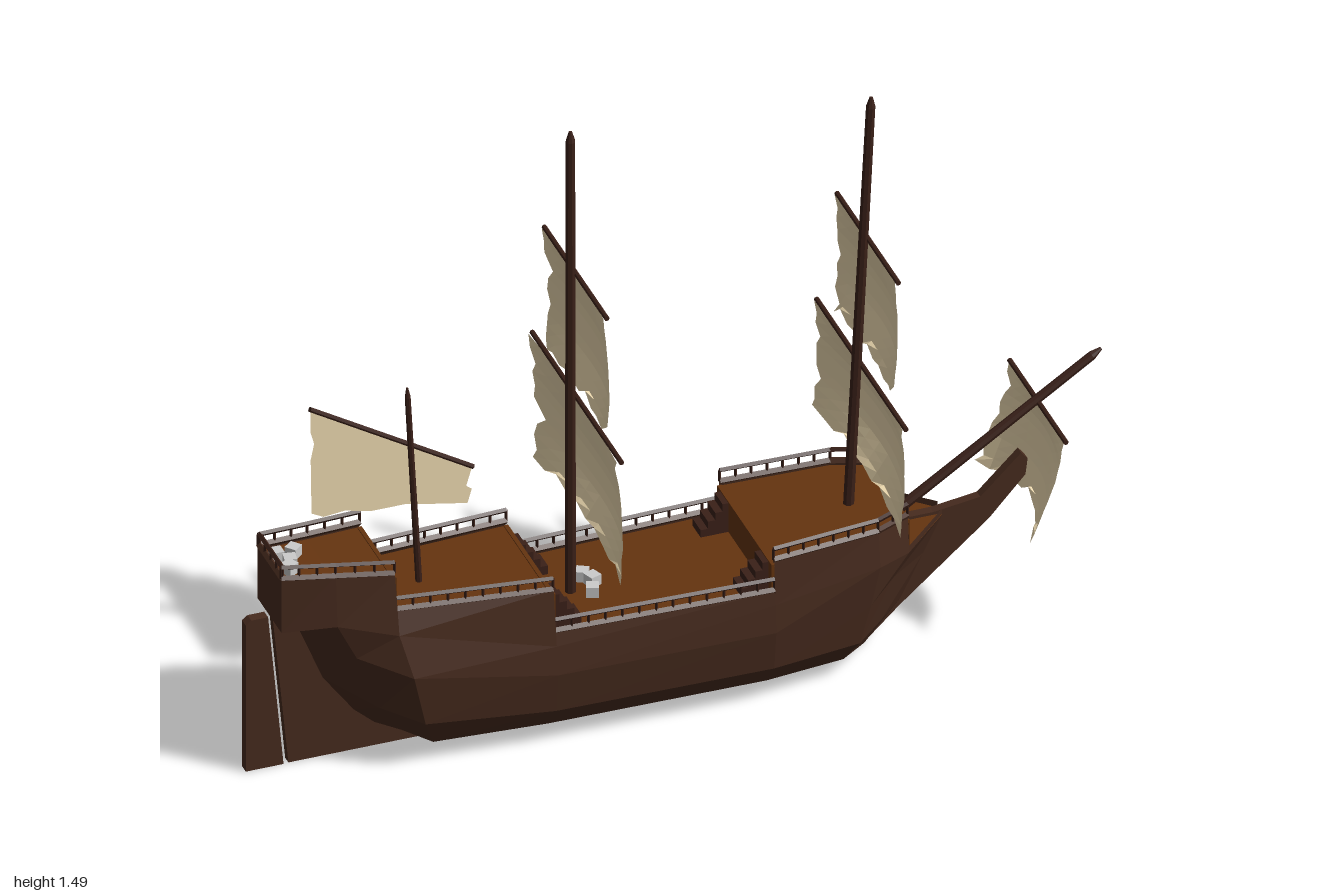
import * as THREE from 'three';

const mat = (color) => new THREE.MeshStandardMaterial({ color, flatShading: true, side: THREE.DoubleSide });
const HULL = mat(0x472b1e), SPAR = mat(0x3a2018), DECK = mat(0x65340f), SAIL = mat(0xf0dcb2), GREY = mat(0xcccccc);
const lerp = THREE.MathUtils.lerp;

// Hull sections, stern to bow: x above, x at keel, wale height and half width, widest height and half width, keel height
const SECTIONS = [
  [-.94, -.70, .385, .075, .37, .01, .06],
  [-.82, -.62, .39, .102, .30, .105, .03],
  [-.69, -.58, .36, .14, .26, .168, .015],
  [-.335, -.335, .27, .17, .20, .178, .015],
  [.17, .17, .27, .182, .20, .186, .015],
  [.42, .34, .30, .165, .20, .155, .015],
  [.50, .40, .30, .13, .22, .094, .015],
  [.62, .43, .30, .013, .21, .01, .015],
];

// Top edge with its steps: section, height, half width
const TOPS = [
  [0, .525, .075], [1, .515, .092], [2, .505, .112],
  [2, .415, .118], [3, .405, .15],
  [3, .305, .162], [4, .305, .178],
  [4, .38, .172], [5, .387, .155], [6, .39, .122],
  [6, .318, .13], [7, .318, .015],
];

// Each station runs from the top edge round the bilge to the keel
const STATIONS = TOPS.map(([section, top, half]) => {
  const [x, keelX, waleY, waleZ, wideY, wideZ, keelY] = SECTIONS[section];
  const bilge = [[.22, 0, 1], [.5, .54, .93], [.8, .86, .68], [1, 1, 0]].map(([tx, ty, f]) =>
    [lerp(x, keelX, tx), lerp(wideY, keelY, ty), Math.max(.01, wideZ * f)]);
  return [[x, top, half], [x, waleY, waleZ], ...bilge];
});

function add(parent, geometry, material, name) {
  const mesh = new THREE.Mesh(geometry, material);
  mesh.name = name;
  parent.add(mesh);
  return mesh;
}

// Surface through a grid of points
function surface(rows, flip = false) {
  const n = rows[0].length, index = [];
  for (let i = 0; i < rows.length - 1; i++) for (let j = 0; j < n - 1; j++) {
    const a = i * n + j, b = a + 1, c = a + n, d = c + 1;
    index.push(...(flip ? [a, c, b, b, c, d] : [a, b, c, b, d, c]));
  }
  const g = new THREE.BufferGeometry();
  g.setAttribute('position', new THREE.Float32BufferAttribute(rows.flat(2), 3));
  g.setIndex(index);
  g.computeVertexNormals();
  return g;
}

// Round or square bar between two points
function bar(parent, a, b, r0, r1, name, material = SPAR, sides = 8) {
  const p = new THREE.Vector3(...a), q = new THREE.Vector3(...b), dir = q.clone().sub(p);
  const mesh = add(parent, new THREE.CylinderGeometry(r1, r0, dir.length(), sides), material, name);
  mesh.position.copy(p).add(q).multiplyScalar(.5);
  mesh.quaternion.setFromUnitVectors(new THREE.Vector3(0, 1, 0), dir.normalize());
}

function box(parent, size, pos, material, name) {
  const mesh = add(parent, new THREE.BoxGeometry(...size), material, name);
  mesh.position.set(...pos);
  return mesh;
}

const outline = (points) => new THREE.Shape(points.map(([x, y]) => new THREE.Vector2(x, y)));

// Upright board cut from an outline in the centre plane
function board(parent, points, thickness, name) {
  const g = new THREE.ExtrudeGeometry(outline(points), { depth: thickness, bevelEnabled: false });
  add(parent, g.translate(0, 0, -thickness / 2), HULL, name);
}

// Rail with posts between two points on the top edge
function railing(parent, a, b) {
  const n = Math.max(2, Math.round(Math.hypot(a[0] - b[0], a[2] - b[2]) / .038));
  const up = (p) => [p[0], p[1] + .028, p[2]];
  bar(parent, a, b, .008, .008, 'topEdge', HULL, 4);
  bar(parent, up(a), up(b), .006, .006, 'handrail', SPAR, 4);
  for (let i = 0; i <= n; i++) {
    const p = a.map((v, k) => lerp(v, b[k], i / n));
    bar(parent, p, up(p), .0035, .0035, 'railPost', SPAR, 4);
  }
}

// Billowing torn sail: centre and edge profiles run top to bottom as [x, y]
const TEAR = [0, 0, .06, 0, .02, 0, .13, .03, 0, .05, 0];
const HEM = [.008, 0, .02, .004, .012, 0, .01, .004, 0, .024, .004];
function squareSail(parent, centre, edge, halfWidth, seed, name) {
  const group = new THREE.Group();
  group.name = name;
  const at = (profile, t) => {
    const s = t * (profile.length - 1), i = Math.min(Math.floor(s), profile.length - 2);
    return profile[i].map((v, k) => lerp(v, profile[i + 1][k], s - i));
  };
  const N = 10, rows = [];
  for (let i = 0; i <= N; i++) {
    const c = at(centre, i / N), e = at(edge, i / N), row = [];
    for (let j = 0; j <= N; j++) {
      let u = j / N * 2 - 1;
      if (i > 0 && j === 0) u += TEAR[(i + seed) % 11];
      if (i > 0 && j === N) u -= TEAR[(i + seed * 3 + 5) % 11];
      const belly = 1 - u * u, hem = i === N ? HEM[(j + seed) % 11] : 0;
      row.push([lerp(e[0], c[0], belly), lerp(e[1], c[1], belly) + hem, u * halfWidth]);
    }
    rows.push(row);
  }
  add(group, surface(rows), SAIL, 'cloth');
  const [x, y] = centre[0], w = halfWidth + .004;
  bar(group, [x, y, -w], [x, y, w], .006, .006, 'yard');
  parent.add(group);
}

export function createModel() {
  const ship = new THREE.Group();
  ship.name = 'sailingShip';

  // Hull sides, transom, keel, stem and rudder
  for (const s of [1, -1]) {
    const rows = STATIONS.map((st) => st.map(([x, y, z]) => [x, y, z * s]));
    add(ship, surface(rows, s < 0), HULL, s > 0 ? 'hullFrontSide' : 'hullBackSide');
  }
  const stern = STATIONS[0].slice(0, 3);
  add(ship, surface(stern.map(([x, y, z]) => [[x, y, z], [x, y, -z]]), true), HULL, 'transom');
  box(ship, [1.03, .03, .02], [-.085, .015, 0], HULL, 'keel');
  board(ship, [[-.937, .388], [-.9, 0], [-.5, 0], [-.5, .03], [-.75, .25], [-.8, .388]], .02, 'sternPost');
  board(ship, [[.3, 0], [.43, 0], [.52, .085], [.73, .265], [.815, .36], [.82, .4], [.805, .418],
    [.71, .325], [.6, .31], [.5, .31]], .022, 'stem');
  board(ship, [[-1, 0], [-1, .38], [-.987, .39], [-.948, .39], [-.912, 0]], .024, 'rudder');

  // Decks
  const deck = (from, to, name) => add(ship, surface(STATIONS.slice(from, to + 1).map(([[x, y, z]]) =>
    [[x, y - .015, -z], [x, y - .015, z]])), DECK, name);
  deck(0, 2, 'poopDeck');
  deck(3, 4, 'quarterDeck');
  deck(5, 6, 'mainDeck');
  deck(7, 9, 'foreDeck');
  deck(10, 11, 'beakDeck');

  // Walls where the deck steps
  for (const [i, j] of [[2, 3], [4, 5], [7, 6], [9, 10]]) {
    const [x, y, z] = STATIONS[i][0], hi = y - .012, lo = STATIONS[j][0][1] - .02;
    box(ship, [.01, hi - lo, z * 2 - .004], [x, (hi + lo) / 2, 0], DECK, 'bulkhead');
  }

  // Railings on both sides and across the stern
  const rails = new THREE.Group();
  rails.name = 'railings';
  for (const i of [0, 1, 3, 5, 7, 8]) for (const s of [1, -1]) {
    const [a, b] = [STATIONS[i][0], STATIONS[i + 1][0]].map(([x, y, z]) => [x, y, (z - .004) * s]);
    railing(rails, a, b);
  }
  railing(rails, [-.937, .525, -.071], [-.937, .525, .071]);
  ship.add(rails);

  // Stairs from the main deck
  for (const s of [1, -1]) for (let k = 0; k < 4; k++) {
    const h = .022 * (4 - k);
    box(ship, [.017, h, .05], [-.322 + k * .017, .29 + h / 2, s * .105], SPAR, 'quarterDeckStair');
    box(ship, [.017, h * .85, .05], [.16 - k * .017, .29 + h * .425, s * .125], SPAR, 'foreDeckStair');
  }

  // Loose cargo
  const cargo = [[-.915, .523, -.025], [-.875, .523, -.027], [-.895, .52, .005], [-.905, .52, .03],
    [-.2, .303, .03], [-.185, .303, -.01], [-.2, .303, -.035]];
  cargo.forEach((p, i) => {
    box(ship, [.028, .026, .028], p, GREY, 'crate').rotation.y = i * .7;
  });

  // Masts and bowsprit, with pointed tips
  const mast = (a, b, r, name) => {
    const d = new THREE.Vector3(...b).sub(new THREE.Vector3(...a)).setLength(.025);
    const neck = [b[0] - d.x, b[1] - d.y, b[2]];
    bar(ship, a, neck, r, r * .85, name);
    bar(ship, neck, b, r * .85, r * .3, name + 'Tip');
  };
  mast([-.24, .28, 0], [-.24, 1.485, 0], .013, 'mainMast');
  mast([.407, .36, 0], [.46, 1.415, 0], .013, 'foreMast');
  mast([-.592, .38, 0], [-.62, .905, 0], .008, 'mizzenMast');
  mast([.48, .3, 0], [.995, .64, 0], .012, 'bowsprit');

  // Square sails
  squareSail(ship, [[-.225, .79], [-.168, .61], [-.168, .53], [-.205, .47]],
    [[-.235, .79], [-.225, .68], [-.22, .57], [-.225, .46]], .275, 0, 'mainLowerSail');
  squareSail(ship, [[-.228, 1.115], [-.19, .98], [-.188, .88], [-.22, .805]],
    [[-.235, 1.115], [-.225, 1.01], [-.22, .9], [-.228, .8]], .192, 3, 'mainUpperSail');
  squareSail(ship, [[.437, .725], [.488, .6], [.485, .52], [.44, .455]],
    [[.43, .725], [.435, .63], [.435, .54], [.425, .445]], .275, 6, 'foreLowerSail');
  squareSail(ship, [[.452, 1.05], [.487, .92], [.487, .84], [.45, .755]],
    [[.445, 1.05], [.452, .95], [.45, .85], [.44, .75]], .188, 8, 'foreUpperSail');
  squareSail(ship, [[.848, .535], [.863, .46], [.85, .37], [.825, .295]],
    [[.845, .535], [.83, .45], [.8, .37], [.765, .285]], .172, 4, 'bowspritSail');

  // Slanting sail on the rear mast
  const lateen = [[-.84, .89], [-.84, .83], [-.832, .8], [-.84, .76], [-.838, .62], [-.81, .605], [-.76, .61],
    [-.7, .595], [-.62, .595], [-.55, .58], [-.475, .565], [-.465, .6], [-.478, .61], [-.465, .655]];
  add(ship, new THREE.ShapeGeometry(outline(lateen)).translate(0, 0, -.012), SAIL, 'mizzenSail');
  bar(ship, [-.842, .892, -.012], [-.462, .657, -.012], .006, .006, 'mizzenYard');

  return ship;
}
